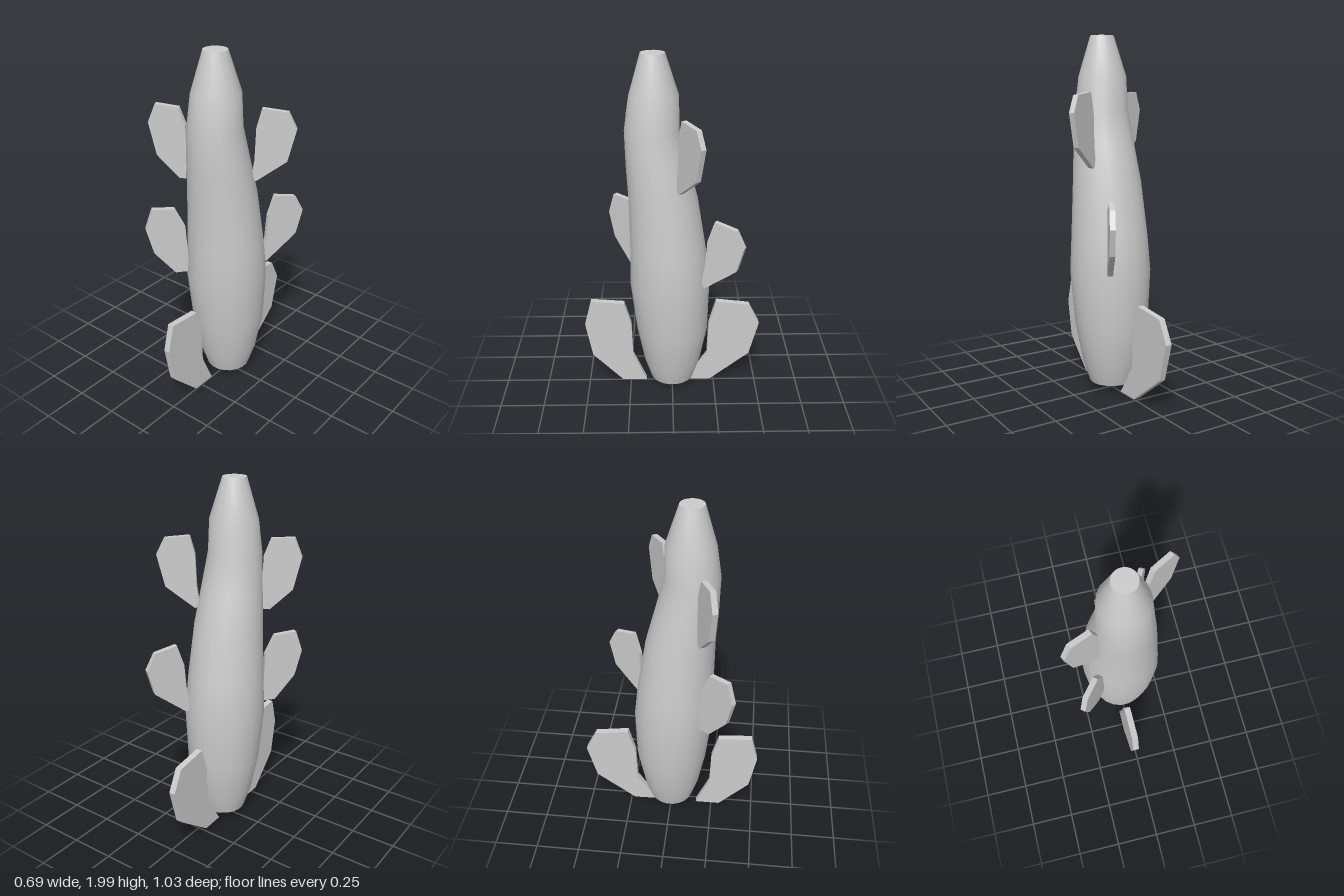
import * as THREE from 'three';
import { mergeVertices } from 'three/addons/utils/BufferGeometryUtils.js';

const SIDES = 20;
// Body rings, bottom to top: height, radius, centre z
const RINGS = [
  [0.06, 0.126, 0], [0.18, 0.165, 0], [0.4, 0.207, 0], [0.7, 0.228, 0.013], [0.9, 0.215, 0.022],
  [1.2, 0.192, 0.048], [1.4, 0.171, 0.08], [1.6, 0.148, 0.108], [1.78, 0.133, 0.096], [2, 0.065, 0.1],
];

function bodyGeometry() {
  const profile = RINGS.map(([y, r]) => new THREE.Vector2(r, y));
  const lathe = new THREE.LatheGeometry(profile, SIDES, Math.PI / SIDES);
  // Slide each ring along z so the body leans
  const p = lathe.attributes.position;
  for (let i = 0; i < p.count; i++) p.setZ(i, p.getZ(i) + RINGS[i % RINGS.length][2]);
  lathe.deleteAttribute('uv');
  lathe.deleteAttribute('normal');
  const geometry = mergeVertices(lathe, 1e-4);
  geometry.computeVertexNormals();
  return geometry;
}

// Flat plate standing between two ground points [x, z]; outline is [0 root..1 tip, height]
function fin(name, material, root, tip, thickness, outline) {
  const dx = tip[0] - root[0], dz = tip[1] - root[1];
  const length = Math.hypot(dx, dz);
  const shape = new THREE.Shape(outline.map(([t, y]) => new THREE.Vector2(t * length, y)));
  const geometry = new THREE.ExtrudeGeometry(shape, { depth: thickness, bevelEnabled: false });
  geometry.translate(0, 0, -thickness / 2);
  const mesh = new THREE.Mesh(geometry, material);
  mesh.name = name;
  mesh.position.set(root[0], 0, root[1]);
  mesh.rotation.y = Math.atan2(-dz, dx);
  return mesh;
}

export function createModel() {
  const group = new THREE.Group();
  group.name = 'finnedBody';
  const grey = new THREE.MeshStandardMaterial({ color: 0xcccccc });

  const body = new THREE.Mesh(bodyGeometry(), grey);
  body.name = 'body';
  group.add(body);

  // Flat end caps
  for (const [name, ring, turn] of [['bottomCap', RINGS[0], 1], ['topCap', RINGS.at(-1), -1]]) {
    const cap = new THREE.Mesh(new THREE.CircleGeometry(ring[1], SIDES, Math.PI / SIDES + Math.PI / 2), grey);
    cap.name = name;
    cap.rotation.x = turn * Math.PI / 2;
    cap.position.set(0, ring[0], ring[2]);
    group.add(cap);
  }

  // Large base fins, curling in under the body
  group.add(fin('frontBaseFin', grey, [-0.02, 0.155], [-0.02, 0.515], 0.036, [
    [0, 0.01], [0.4, 0.01], [0.89, 0.19], [1, 0.4], [0.89, 0.555], [0.35, 0.54], [0.24, 0.4], [0.22, 0.19],
  ]));
  group.add(fin('backBaseFin', grey, [-0.018, -0.095], [-0.026, -0.515], 0.036, [
    [0, 0.01], [0.32, 0.01], [0.87, 0.19], [1, 0.4], [0.85, 0.525], [0.39, 0.55], [0.29, 0.4], [0.27, 0.19],
  ]));

  // Middle fins
  group.add(fin('rightMiddleFin', grey, [-0.145, 0.175], [-0.29, 0.36], 0.03, [
    [0, 0.72], [0.33, 0.72], [0.83, 0.86], [1, 1.01], [0.83, 1.13], [0.3, 1.12], [0.07, 1.01], [0.03, 0.86],
  ]));
  group.add(fin('leftMiddleFin', grey, [0.115, -0.165], [0.235, -0.385], 0.03, [
    [0, 0.73], [0.11, 0.72], [0.84, 0.865], [1, 1.01], [0.8, 1.105], [0.3, 1.13], [0.14, 1.01], [0.09, 0.86],
  ]));

  // Upper fins
  group.add(fin('rightUpperFin', grey, [-0.145, 0.16], [-0.338, 0.245], 0.03, [
    [0.05, 1.29], [0.22, 1.29], [0.8, 1.41], [1, 1.59], [0.8, 1.695], [0.2, 1.685], [0.03, 1.59], [0, 1.41],
  ]));
  group.add(fin('leftUpperFin', grey, [0.135, -0.03], [0.335, -0.15], 0.03, [
    [0, 1.3], [0.12, 1.29], [0.81, 1.41], [1, 1.59], [0.81, 1.68], [0.22, 1.695], [0.1, 1.59], [0.07, 1.41],
  ]));
  return group;
}
